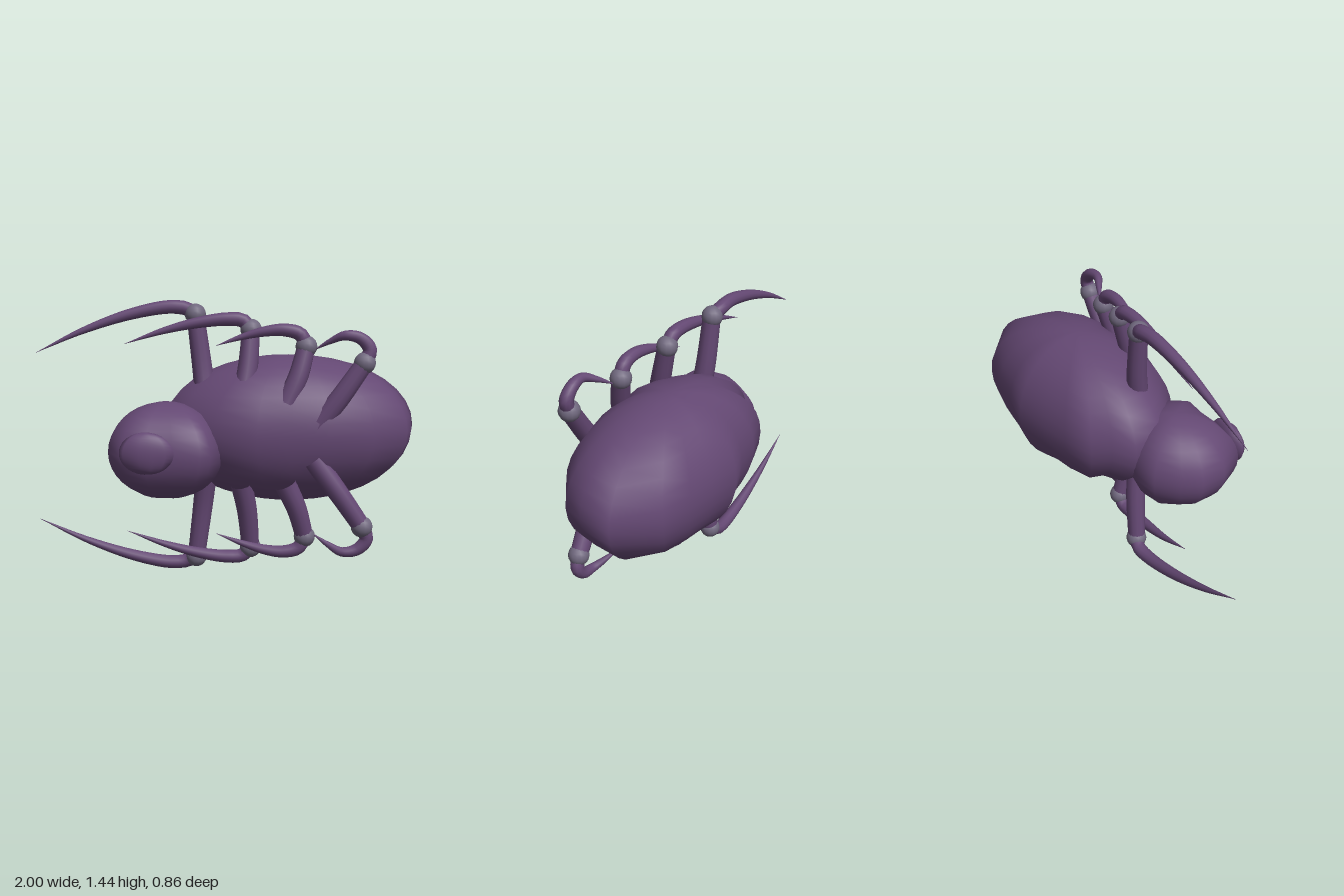
import * as THREE from 'three';
import { mergeVertices } from 'three/addons/utils/BufferGeometryUtils.js';

const MIRROR_Y = 0.715; // the spider rests on its side: legs mirror about this height

// Ovoid with poles along y, whose equator follows an irregular outline of [x, z]
// points, ordered from -x through +z to +x and back round through -z.
function ovoid(name, pole, radiusY, outline, material) {
  const n = outline.length;
  const rows = 18;
  const geo = new THREE.SphereGeometry(1, n, rows);
  const pos = geo.attributes.position;
  for (let r = 0; r <= rows; r++) {
    const s = Math.sin((r / rows) * Math.PI);
    const c = Math.cos((r / rows) * Math.PI);
    for (let i = 0; i <= n; i++) {
      const [x, z] = outline[i % n];
      pos.setXYZ(r * (n + 1) + i,
        pole[0] + (x - pole[0]) * s,
        pole[1] + radiusY * c,
        pole[2] + (z - pole[2]) * s);
    }
  }
  geo.deleteAttribute('uv');
  geo.deleteAttribute('normal');
  const welded = mergeVertices(geo);
  welded.computeVertexNormals();
  const mesh = new THREE.Mesh(welded, material);
  mesh.name = name;
  return mesh;
}

// Tube along points whose radius changes with t in 0..1
function taperedTube(name, points, radiusAt, segments, material) {
  const curve = new THREE.CatmullRomCurve3(points);
  const sides = 12;
  const geo = new THREE.TubeGeometry(curve, segments, 1, sides);
  const pos = geo.attributes.position;
  const v = new THREE.Vector3();
  for (let i = 0; i <= segments; i++) {
    const centre = curve.getPointAt(i / segments);
    const r = radiusAt(i / segments);
    for (let j = 0; j <= sides; j++) {
      const k = i * (sides + 1) + j;
      v.fromBufferAttribute(pos, k).sub(centre).multiplyScalar(r).add(centre);
      pos.setXYZ(k, v.x, v.y, v.z);
    }
  }
  const mesh = new THREE.Mesh(geo, material);
  mesh.name = name;
  return mesh;
}

// Upper-side legs: thigh runs from the body to the knee, shin from the knee to the tip
const LEGS = [
  {
    thigh: [[-0.11, 0.9, 0.02], [-0.13, 1.08, -0.01], [-0.165, 1.36, -0.028]],
    shin: [[-0.165, 1.36, -0.03], [-0.21, 1.388, -0.05], [-0.3, 1.397, -0.052],
      [-0.5, 1.36, -0.055], [-0.75, 1.275, -0.06], [-1, 1.16, -0.065]],
  },
  {
    thigh: [[0.07, 0.93, 0.16], [0.1, 1.08, 0.12], [0.12, 1.285, 0.07]],
    shin: [[0.12, 1.285, 0.068], [0.08, 1.33, 0.062], [0, 1.338, 0.06],
      [-0.15, 1.32, 0.05], [-0.32, 1.28, 0.03], [-0.53, 1.21, 0.01]],
  },
  {
    thigh: [[0.29, 0.92, 0.22], [0.35, 1.05, 0.2], [0.395, 1.205, 0.165]],
    shin: [[0.395, 1.205, 0.165], [0.365, 1.265, 0.165], [0.29, 1.287, 0.16],
      [0.19, 1.28, 0.145], [0.07, 1.25, 0.12], [-0.06, 1.205, 0.1]],
  },
  {
    thigh: [[0.43, 0.79, 0.26], [0.55, 0.95, 0.275], [0.675, 1.13, 0.275]],
    shin: [[0.675, 1.13, 0.275], [0.7, 1.195, 0.27], [0.655, 1.25, 0.265],
      [0.58, 1.265, 0.26], [0.51, 1.235, 0.22], [0.43, 1.185, 0.17]],
  },
];

function leg(spec, upper, skin, jointMaterial) {
  const group = new THREE.Group();
  const place = ([x, y, z]) => new THREE.Vector3(x, upper ? y : 2 * MIRROR_Y - y, z);
  group.add(taperedTube('thigh', spec.thigh.map(place), t => 0.056 - 0.01 * t, 10, skin));
  group.add(taperedTube('shin', spec.shin.map(place),
    t => Math.max(0.001, 0.037 * (1 - Math.pow(t, 1.7))), 24, skin));
  const knee = new THREE.Mesh(new THREE.SphereGeometry(0.055, 14, 10), jointMaterial);
  knee.name = 'knee';
  knee.position.copy(place(spec.shin[0]));
  group.add(knee);
  return group;
}

export function createModel() {
  const model = new THREE.Group();
  model.name = 'spider';
  const skin = new THREE.MeshStandardMaterial({ color: 0x644873 });
  skin.name = 'purple skin';
  const jointMaterial = new THREE.MeshStandardMaterial({ color: 0x70687e });
  jointMaterial.name = 'grey joint';

  // Body
  model.add(ovoid('abdomen', [0.32, 0.765, -0.05], 0.385, [
    [-0.34, 0], [-0.25, 0.12], [-0.08, 0.26], [0.14, 0.33], [0.32, 0.3], [0.5, 0.33],
    [0.73, 0.28], [0.92, 0.15], [0.96, 0.04], [1, -0.14], [0.81, -0.31], [0.64, -0.36],
    [0.48, -0.39], [0.32, -0.43], [0.16, -0.38], [0, -0.365], [-0.17, -0.32],
    [-0.21, -0.22], [-0.33, -0.16],
  ], skin));
  model.add(ovoid('head', [-0.31, 0.67, 0.1], 0.25, [
    [-0.61, 0.04], [-0.61, 0.18], [-0.54, 0.33], [-0.42, 0.35], [-0.28, 0.35],
    [-0.14, 0.37], [-0.09, 0.32], [-0.03, 0.24], [-0.05, 0.05], [-0.12, -0.1],
    [-0.33, -0.165], [-0.46, -0.15], [-0.55, -0.05],
  ], skin));
  model.add(ovoid('snout', [-0.41, 0.695, 0.37], 0.105, [
    [-0.54, 0.36], [-0.52, 0.39], [-0.44, 0.425], [-0.37, 0.415], [-0.31, 0.415],
    [-0.27, 0.4], [-0.28, 0.36], [-0.36, 0.335], [-0.46, 0.33],
  ], skin));

  // Four legs on each side
  LEGS.forEach((spec, i) => {
    for (const upper of [true, false]) {
      const l = leg(spec, upper, skin, jointMaterial);
      l.name = `${upper ? 'upper' : 'lower'}Leg${i + 1}`;
      model.add(l);
    }
  });
  return model;
}
